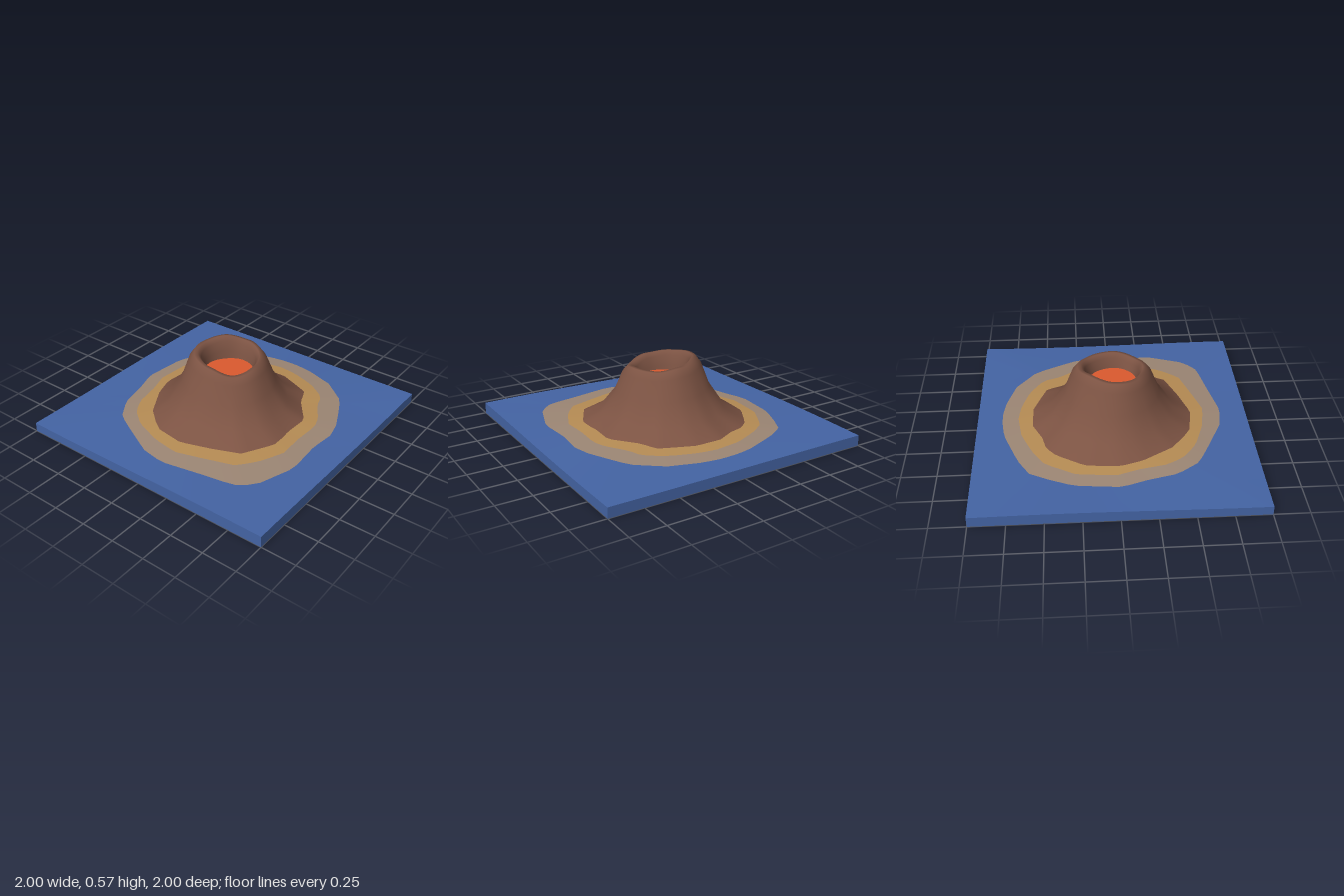
import * as THREE from 'three';

const N = 72; // angular steps, a multiple of 8 so that the corners of the square are hit

const mat = (name, color) => {
  const m = new THREE.MeshStandardMaterial({ color, side: THREE.DoubleSide });
  m.name = name;
  return m;
};

// Shorelines as x, z points, running from +x towards +z
const WET_EDGE = [0.82, 0.05, 0.80, 0.2, 0.73, 0.42, 0.58, 0.61, 0.42, 0.69, 0.27, 0.76, 0.14, 0.79, -0.05, 0.77,
  -0.33, 0.79, -0.62, 0.69, -0.71, 0.58, -0.75, 0.35, -0.81, 0.04, -0.78, -0.14, -0.64, -0.42, -0.57, -0.55,
  -0.41, -0.66, -0.2, -0.71, -0.02, -0.77, 0.3, -0.74, 0.47, -0.67, 0.61, -0.6, 0.69, -0.46, 0.79, -0.2, 0.81, -0.1];
const SAND_EDGE = [0.70, 0.01, 0.68, 0.15, 0.62, 0.33, 0.52, 0.48, 0.40, 0.52, 0.25, 0.62, 0.15, 0.65, -0.05, 0.64,
  -0.24, 0.65, -0.42, 0.57, -0.55, 0.47, -0.62, 0.25, -0.68, 0.05, -0.65, -0.15, -0.57, -0.37, -0.47, -0.5,
  -0.35, -0.57, -0.15, -0.61, 0, -0.66, 0.28, -0.64, 0.5, -0.52, 0.58, -0.4, 0.67, -0.2];
const ROCK_EDGE = [0.59, 0.1, 0.54, 0.23, 0.49, 0.35, 0.36, 0.40, 0.17, 0.55, -0.02, 0.54, -0.1, 0.55, -0.21, 0.55,
  -0.43, 0.43, -0.51, 0.23, -0.58, 0.01, -0.55, -0.2, -0.5, -0.28, -0.4, -0.4, -0.18, -0.53, -0.02, -0.58,
  0.22, -0.56, 0.42, -0.44, 0.49, -0.36, 0.52, -0.24, 0.59, -0.1];
// Rim height every 45 degrees
const RIM = [0.54, 0.512, 0.51, 0.488, 0.525, 0.54, 0.553, 0.568];

// Distance from the centre to a closed outline, along angle a
function outlineRadius(pts, a) {
  const dx = Math.cos(a), dz = Math.sin(a), n = pts.length / 2;
  for (let i = 0; i < n; i++) {
    const j = (i + 1) % n;
    const x = pts[2 * i], z = pts[2 * i + 1], ex = pts[2 * j] - x, ez = pts[2 * j + 1] - z;
    const det = dx * ez - dz * ex;
    const r = (x * ez - z * ex) / det;
    const u = (x * dz - z * dx) / det;
    if (r > 0 && u >= -1e-6 && u <= 1 + 1e-6) return r;
  }
  return Math.hypot(pts[0], pts[1]);
}

function rimHeight(a) {
  const t = a / (Math.PI / 4), i = Math.floor(t) % 8;
  const f = t - Math.floor(t), s = f * f * (3 - 2 * f);
  return RIM[i] * (1 - s) + RIM[(i + 1) % 8] * s;
}

const squareRadius = (a) => 1 / Math.max(Math.abs(Math.cos(a)), Math.abs(Math.sin(a)));
const seaHeight = (x, z) => 0.075 + 0.009 * Math.sin(2.3 * x + 0.6) * Math.sin(-2.2 * z);

// A closed ring of points from rules for radius and height
function ring(radius, height) {
  return Array.from({ length: N }, (_, i) => {
    const a = (i / N) * Math.PI * 2, r = radius(a);
    const x = r * Math.cos(a), z = r * Math.sin(a);
    return [x, height(a, x, z), z];
  });
}

// Surface through rings listed from the inside outwards
function loft(name, rings, material) {
  const index = [];
  for (let k = 0; k < rings.length - 1; k++) {
    for (let i = 0; i < N; i++) {
      const a = k * N + i, b = k * N + ((i + 1) % N);
      index.push(a, b, a + N, b, b + N, a + N);
    }
  }
  const geo = new THREE.BufferGeometry();
  geo.setAttribute('position', new THREE.Float32BufferAttribute(rings.flat(2), 3));
  geo.setIndex(index);
  geo.computeVertexNormals();
  const mesh = new THREE.Mesh(geo, material);
  mesh.name = name;
  return mesh;
}

export function createModel() {
  const group = new THREE.Group();
  group.name = 'volcanoIsland';
  const water = mat('seaBlue', 0x4464a4);
  const wetSand = mat('wetSand', 0x9c8674);
  const sand = mat('drySand', 0xb68c54);
  const rock = mat('rockBrown', 0x7c5343);
  const lavaRed = mat('lavaOrange', 0xdc5a2f);

  // Flat rings: shore edges and the square border
  const rockEdge = ring((a) => outlineRadius(ROCK_EDGE, a), () => 0.1);
  const sandEdge = ring((a) => outlineRadius(SAND_EDGE, a), () => 0.092);
  const wetEdge = ring((a) => outlineRadius(WET_EDGE, a), () => 0.082);
  const border = ring(squareRadius, (a, x, z) => seaHeight(x, z));
  const floor = ring(squareRadius, () => 0);

  // Mountain: [blend from rim circle to foot, share of rim height] down the slope
  const slope = [[0, 1], [0.12, 0.88], [0.29, 0.54], [0.6, 0.185], [1, 0]];
  const rimRadius = (a) => 0.245 + 0.008 * Math.sin(3 * a + 1);
  const profile = [];
  for (let k = 0; k < slope.length; k++) {
    profile.push(new THREE.Vector2(slope[k][0], slope[k][1]));
  }
  const foot = (a) => outlineRadius(ROCK_EDGE, a);
  const outer = profile.map((p) => ring(
    (a) => {
      // upper slopes stay round, lower ones follow the foot
      const f = 0.585 + (foot(a) - 0.585) * p.x;
      return rimRadius(a) + (f - rimRadius(a)) * p.x;
    },
    (a) => 0.1 + (rimHeight(a) - 0.1) * p.y,
  ));
  // Crater wall: [radius, drop below the rim]
  const crater = [[0.165, 0.17], [0.178, 0.1], [0.195, 0.03], [0.22, -0.003]].map(([r, d]) => ring(
    (a) => r + 0.006 * Math.sin(3 * a + 1),
    (a) => (d > 0.15 ? 0.375 : rimHeight(a) - d),
  ));
  group.add(loft('mountain', [...crater, ...outer], rock));

  group.add(loft('beach', [rockEdge, sandEdge], sand));
  group.add(loft('shallows', [sandEdge, wetEdge], wetSand));
  group.add(loft('sea', [wetEdge, border], water));
  group.add(loft('seaSides', [border, floor], water));
  // hard edge between the side walls
  const sides = group.getObjectByName('seaSides');
  sides.geometry = sides.geometry.toNonIndexed();
  sides.geometry.computeVertexNormals();

  // Lava plug closing the crater
  const lava = new THREE.Mesh(new THREE.CylinderGeometry(0.175, 0.17, 0.04, 24), lavaRed);
  lava.name = 'lava';
  lava.position.y = 0.385;
  group.add(lava);
  return group;
}
